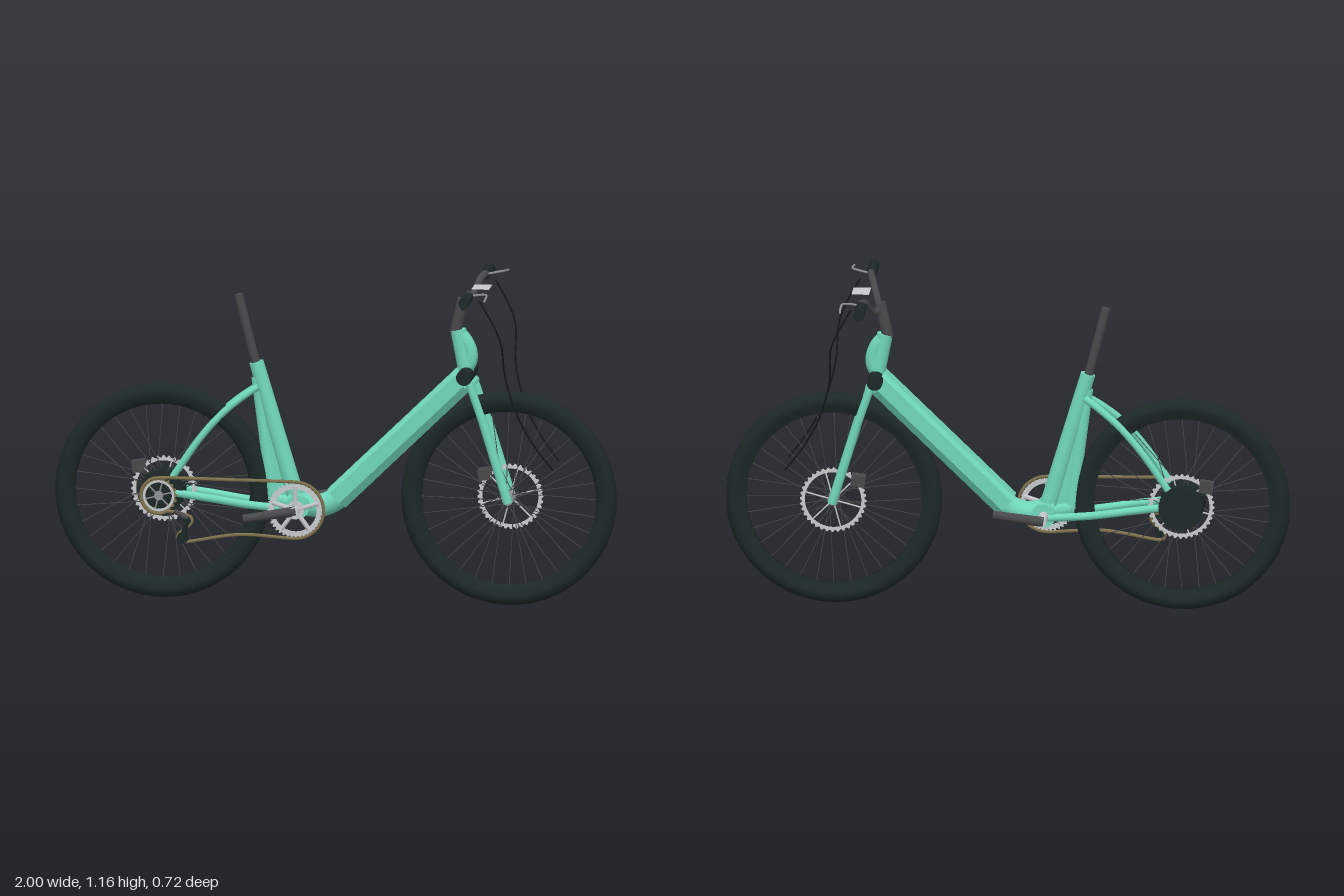
import * as THREE from 'three';

const mat = (name, color) => Object.assign(new THREE.MeshStandardMaterial({ color }), { name });
const V = (x, y, z = 0) => new THREE.Vector3(x, y, z);

export function createModel() {
  const green = mat('mint paint', 0x70d6ba);
  const black = mat('black rubber', 0x1c2827);
  const grey = mat('dark grey metal', 0x48484a);
  const silver = mat('silver metal', 0xc6c9cb);
  const steel = mat('steel', 0x8f9294);
  const brown = mat('chain brown', 0x80724f);
  const wire = mat('cable black', 0x151718);
  const bike = new THREE.Group();
  bike.name = 'bicycle';

  const add = (name, geo, m, pos = V(0, 0), parent = bike) => {
    const mesh = new THREE.Mesh(geo, m);
    mesh.name = name;
    mesh.position.copy(pos);
    parent.add(mesh);
    return mesh;
  };
  // straight round bar between two points
  const bar = (name, a, b, r0, m, r1 = r0, sides = 20, parent = bike) => {
    const dir = b.clone().sub(a);
    const geo = new THREE.CylinderGeometry(r1, r0, dir.length(), sides);
    const mesh = add(name, geo, m, a.clone().lerp(b, 0.5), parent);
    mesh.quaternion.setFromUnitVectors(V(0, 1), dir.normalize());
    return mesh;
  };
  const tube = (name, pts, r, m, seg = 32, sides = 14, closed = false) =>
    add(name, new THREE.TubeGeometry(new THREE.CatmullRomCurve3(pts, closed), seg, r, sides, closed), m);
  const disc = (name, x, y, z0, z1, r, m) => bar(name, V(x, y, z0), V(x, y, z1), r, m, r, 36);
  const box = (name, x, y, z, w, h, d, m, turn = 0) => {
    const mesh = add(name, new THREE.BoxGeometry(w, h, d), m, V(x, y, z));
    mesh.rotation.z = turn;
    return mesh;
  };
  // flat ring with optional teeth
  const ring = (name, x, y, z, outer, inner, m, teeth = 0, depth = 0.005) => {
    const shape = new THREE.Shape();
    const n = teeth ? teeth * 4 : 56;
    for (let i = 0; i < n; i++) {
      const a = i / n * Math.PI * 2, r = teeth && i % 4 > 1 ? outer - 0.007 : outer;
      shape[i ? 'lineTo' : 'moveTo'](r * Math.cos(a), r * Math.sin(a));
    }
    shape.holes.push(new THREE.Path().absarc(0, 0, inner, 0, Math.PI * 2, true));
    return add(name, new THREE.ExtrudeGeometry(shape, { depth, bevelEnabled: false, curveSegments: 40 }), m, V(x, y, z - depth / 2));
  };
  const spider = (name, x, y, z, count, r, thick, m) => {
    for (let i = 0; i < count; i++) {
      const a = (i + 0.25) / count * Math.PI * 2;
      bar(name, V(x, y, z), V(x + r * Math.cos(a), y + r * Math.sin(a), z), thick, m, thick, 6);
    }
  };

  // wheels: tyre, rim, crossed spokes, brake disc and caliper
  const RX = -0.617, FX = 0.617, WY = 0.387;
  const tyre = [[0.312, -0.013], [0.33, -0.02], [0.345, -0.028], [0.36, -0.028], [0.374, -0.02], [0.383, -0.006],
    [0.383, 0.006], [0.374, 0.02], [0.36, 0.028], [0.345, 0.028], [0.33, 0.02], [0.312, 0.013], [0.312, -0.013]]
    .map(p => new THREE.Vector2(...p));
  const wheel = (name, x, hubR, hubZ) => {
    const g = new THREE.Group();
    g.name = name;
    g.position.set(x, WY, 0);
    bike.add(g);
    add('tyre', new THREE.LatheGeometry(tyre, 72), black, V(0, 0), g).rotation.x = Math.PI / 2;
    for (let i = 0; i < 32; i++) {
      const a = i / 32 * Math.PI * 2, b = a + (i % 4 < 2 ? 0.6 : -0.6) * (hubR > 0.05 ? 0.6 : 1), s = i % 2 ? 1 : -1;
      bar('spoke', V(hubR * Math.cos(b), hubR * Math.sin(b), s * hubZ),
        V(0.315 * Math.cos(a), 0.315 * Math.sin(a), 0), 0.0016, grey, 0.0016, 5, g);
    }
    ring('brakeDisc', x, WY, -0.036, 0.118, 0.1, silver, 36, 0.003);
    spider('brakeDiscArm', x, WY, -0.036, 6, 0.102, 0.003, silver);
    box('brakeCaliper', x - 0.09, WY + 0.077, -0.05, 0.05, 0.043, 0.032, grey, 0.15);
  };
  wheel('rearWheel', RX, 0.07, 0.028);
  wheel('frontWheel', FX, 0.024, 0.03);
  disc('frontHub', FX, WY, -0.045, 0.045, 0.02, steel);
  disc('frontAxle', FX, WY, -0.07, 0.07, 0.009, steel);
  disc('hubMotor', RX, WY, -0.07, 0.06, 0.079, black);

  // down tube: chamfered box section, seen along its length
  const section = new THREE.Shape([[-0.047, -0.018], [-0.022, -0.045], [0.022, -0.045], [0.047, -0.018],
    [0.047, 0.03], [0.033, 0.045], [-0.033, 0.045], [-0.047, 0.03]].map(p => new THREE.Vector2(...p)));
  const downStart = V(0.005, 0.375), downEnd = V(0.466, 0.822);
  add('downTube', new THREE.ExtrudeGeometry(section, { depth: downStart.distanceTo(downEnd), bevelEnabled: false }),
    green, downStart).lookAt(downEnd);

  // rest of the frame
  const CX = -0.13, CY = 0.346, CZ = 0.115;
  tube('bottomBend', [V(0.04, 0.408), V(-0.005, 0.366), V(-0.06, 0.345), V(-0.12, 0.35), V(-0.17, 0.36)], 0.041, green);
  disc('bottomBracket', CX, CY, -0.055, 0.055, 0.042, green);
  bar('seatTube', V(-0.14, 0.36), V(-0.284, 0.856), 0.032, green, 0.026);
  bar('seatBrace', V(-0.222, 0.365), V(-0.282, 0.8), 0.024, green, 0.02);
  const web = new THREE.Shape([[-0.225, 0.36], [-0.13, 0.36], [-0.28, 0.82]].map(p => new THREE.Vector2(...p)));
  add('seatTubeWeb', new THREE.ExtrudeGeometry(web, { depth: 0.032, bevelEnabled: false }), green, V(0, 0, -0.016));
  bar('lowerWeb', V(-0.225, 0.365), V(-0.13, 0.35), 0.028, green);
  bar('seatPost', V(-0.284, 0.845), V(-0.348, 1.097), 0.016, grey);
  bar('headTube', V(0.467, 0.825), V(0.436, 0.988), 0.028, green, 0.028, 28);
  tube('headTubeHousing', [V(0.442, 0.972), V(0.464, 0.945), V(0.479, 0.905), V(0.475, 0.868), V(0.455, 0.845)], 0.026, green);
  disc('crossLight', 0.467, 0.829, -0.085, 0.085, 0.028, black);

  // paired stays, fork legs, levers and cables
  for (const s of [1, -1]) {
    tube('seatStay', [V(-0.275, 0.77, s * 0.02), V(-0.33, 0.733, s * 0.036), V(-0.4, 0.675, s * 0.051),
      V(-0.48, 0.583, s * 0.058), V(-0.575, 0.445, s * 0.057)], 0.0125, green);
    tube('chainStay', [V(-0.14, 0.338, s * 0.048), V(-0.3, 0.35, s * 0.05), V(-0.45, 0.372, s * 0.053),
      V(-0.57, 0.388, s * 0.054)], 0.014, green);
    bar('forkUpper', V(0.482, 0.808, s * 0.06), V(0.535, 0.655, s * 0.06), 0.0145, green);
    bar('forkLower', V(0.532, 0.665, s * 0.056), V(0.62, 0.378, s * 0.056), 0.0165, green);
    bar('grip', V(0.502, 1.146, s * 0.235), V(0.502, 1.145, s * 0.36), 0.019, black);
    tube('brakeLever', [V(0.505, 1.148, s * 0.225), V(0.54, 1.155, s * 0.23), V(0.566, 1.158, s * 0.245),
      V(0.572, 1.153, s * 0.29), V(0.57, 1.146, s * 0.338)], 0.004, steel, 20, 8);
    tube('brakeCable', [V(0.54, 1.13, s * 0.219), V(0.585, 1.05, s * 0.213), V(0.613, 0.98, s * 0.2),
      V(0.622, 0.845, s * 0.143), V(0.66, 0.705, s * 0.112), V(0.715, 0.6, s * 0.1), V(0.785, 0.505, s * 0.089)],
      0.0032, wire, 40, 7);
  }
  box('forkCrown', 0.483, 0.798, 0, 0.04, 0.012, 0.12, green, 0.32);

  // handlebar, stem and display
  bar('stem', V(0.425, 0.975), V(0.453, 1.1), 0.02, grey);
  const half = [[0.462, 1.077, 0.05], [0.468, 1.085, 0.09], [0.48, 1.11, 0.13], [0.493, 1.142, 0.17],
    [0.502, 1.152, 0.205], [0.502, 1.147, 0.25]];
  tube('handlebar', [...half.map(p => V(p[0], p[1], -p[2])).reverse(), V(0.46, 1.075, 0), ...half.map(p => V(...p))],
    0.0125, grey, 64);
  box('display', 0.52, 1.142, 0, 0.062, 0.002, 0.092, silver);

  // crankset
  disc('crankAxle', CX, CY, -0.15, 0.155, 0.017, silver);
  ring('chainring', CX, CY, CZ, 0.1, 0.076, silver, 40);
  spider('chainringArm', CX, CY, CZ, 5, 0.085, 0.009, silver);
  disc('chainringHub', CX, CY, CZ - 0.006, CZ + 0.006, 0.032, silver);
  bar('crankArm', V(-0.125, 0.347, 0.142), V(-0.31, 0.318, 0.155), 0.018, grey, 0.015);
  bar('crankArm', V(-0.135, 0.347, -0.139), V(0.042, 0.375, -0.157), 0.018, grey, 0.015);

  // rear sprocket: thin rings on an open spider
  ring('chainSprocket', RX, WY, CZ, 0.066, 0.056, brown, 20, 0.006);
  ring('sprocketCarrier', RX, WY, CZ, 0.057, 0.047, silver, 0, 0.004);
  spider('sprocketArm', RX, WY, CZ, 6, 0.05, 0.003, steel);
  disc('sprocketHub', RX, WY, CZ - 0.005, CZ + 0.005, 0.016, steel);

  // chain loop through the derailleur
  const arc = (x, y, r, from, to, n) => Array.from({ length: n }, (_, i) => {
    const a = (from + (to - from) * i / (n - 1)) * Math.PI / 180;
    return V(x + r * Math.cos(a), y + r * Math.sin(a), CZ);
  });
  tube('chain', [...arc(CX, CY, 0.101, 90, -90, 12), V(-0.33, 0.254, CZ), ...arc(-0.53, 0.243, 0.02, -80, -190, 4),
    V(-0.525, 0.27, CZ), ...arc(-0.516, 0.3, 0.018, -40, 70, 4), ...arc(RX, WY, 0.064, -60, -270, 12), V(-0.37, 0.45, CZ)],
    0.0062, brown, 220, 6, true);
  disc('guidePulley', -0.516, 0.3, 0.11, 0.122, 0.014, black);
  disc('tensionPulley', -0.53, 0.24, 0.12, 0.14, 0.02, black);
  bar('derailleurCage', V(-0.53, 0.24, 0.13), V(-0.513, 0.31, 0.13), 0.009, black);
  bar('derailleurArm', V(-0.513, 0.31, 0.128), V(-0.56, 0.335, 0.122), 0.009, grey);

  return bike;
}
